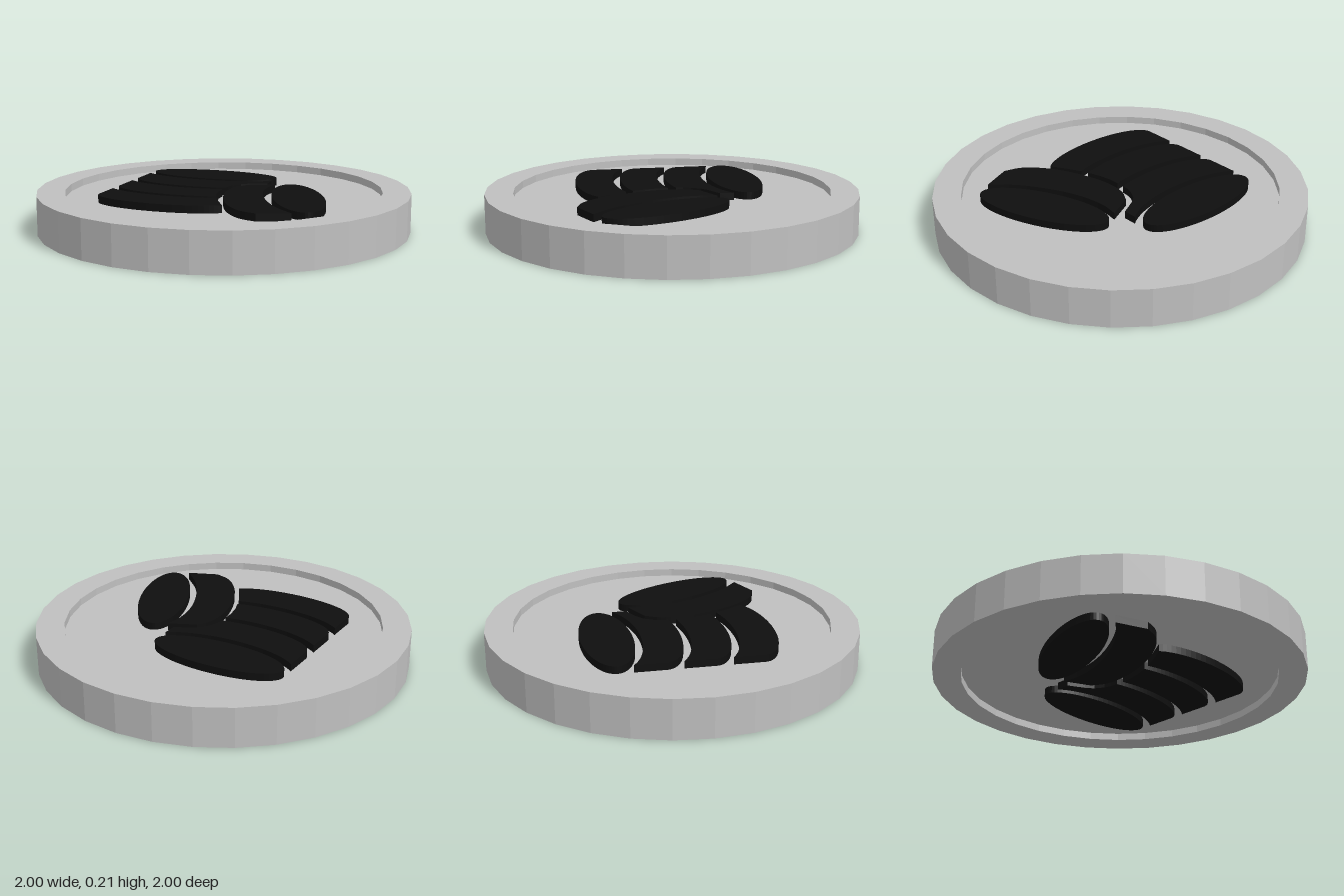
import * as THREE from 'three';

const HEIGHT = 0.21, RECESS = 0.04;
const CX = -0.195, RX = 0.37, RZ = 0.137; // stack centre and coin radii

const silver = new THREE.MeshStandardMaterial({ color: 0xc0c0c0 });
silver.name = 'silver';
const black = new THREE.MeshStandardMaterial({ color: 0x0f0f0f });
black.name = 'black';

// Raised plate from an outline in (x, -z), flush with the rim
function plate(name, shape) {
  const geo = new THREE.ExtrudeGeometry(shape, { depth: RECESS, bevelEnabled: false, curveSegments: 32 });
  geo.rotateX(-Math.PI / 2).translate(0, HEIGHT - RECESS, 0);
  const mesh = new THREE.Mesh(geo, black);
  mesh.name = name;
  return mesh;
}

function ellipse(x, z, rx, rz, turn = 0) {
  return new THREE.Shape().absellipse(x, -z, rx, rz, 0, Math.PI * 2, false, turn);
}

const outline = (pts) => new THREE.Shape(pts.map(([x, z]) => new THREE.Vector2(x, -z)));

// Lower half of an ellipse, from the left side of the stack to xEnd
function arc(cz, rx, rz, xEnd) {
  const end = Math.acos((CX - xEnd) / RX), pts = [];
  for (let i = 0; i <= 28; i++) {
    const x = CX - RX * Math.cos((end * i) / 28);
    pts.push([x, cz + rz * Math.sqrt(Math.max(0, 1 - ((x - CX) / rx) ** 2))]);
  }
  return pts;
}

// Stack of coins with a second, leaning coin
function createEmblem() {
  const g = new THREE.Group();
  g.add(plate('stackTop', ellipse(CX, -0.385, RX, RZ)));

  // Right ends of the bands, cut away around the leaning coin
  const cuts = [
    { top: 0.174, bottom: 0, pts: [[0.174, -0.225], [0.085, -0.18], [0.045, -0.15], [0.015, -0.1], [0.003, -0.06]] },
    { top: 0, bottom: 0.04, pts: [[0.002, 0.08], [0.015, 0.15]] },
    { top: 0.055, bottom: 0.145, pts: [[0.095, 0.335]] },
  ];
  cuts.forEach((cut, i) => {
    const d = i * 0.25;
    const upper = arc(-0.387 + d, 0.42, 0.18, cut.top);
    const lower = arc(-0.137 + d, RX, RZ, cut.bottom).reverse();
    g.add(plate('stackBand' + (i + 1), outline([...upper, ...cut.pts, ...lower])));
  });

  // Leaning coin: face and curved edge
  g.add(plate('leaningCoinFace', ellipse(0.448, 0.102, 0.134, 0.37, 0.413)));
  const curve = (pts) => new THREE.CatmullRomCurve3(pts.map(([x, z]) => new THREE.Vector3(x, 0, z)))
    .getPoints(28).map((p) => [p.x, p.z]);
  const outer = curve([[0.085, -0.135], [0.045, -0.06], [0.04, 0.07], [0.085, 0.24],
    [0.165, 0.4], [0.27, 0.51], [0.365, 0.545]]);
  const inner = curve([[0.525, 0.48], [0.41, 0.37], [0.3, 0.2], [0.235, 0.04], [0.213, -0.1], [0.225, -0.2]]);
  g.add(plate('leaningCoinEdge', outline([...outer, ...inner])));
  return g;
}

export function createModel() {
  const model = new THREE.Group();
  model.name = 'coin';

  // Faceted disc with a shallow recess on both faces
  const profile = [[0, RECESS], [0.85, RECESS], [0.85, 0], [1, 0], [1, HEIGHT],
    [0.85, HEIGHT], [0.85, HEIGHT - RECESS], [0, HEIGHT - RECESS]];
  const geo = new THREE.LatheGeometry(profile.map(([x, y]) => new THREE.Vector2(x, y)), 32).toNonIndexed();
  geo.computeVertexNormals();
  const disc = new THREE.Mesh(geo, silver);
  disc.name = 'disc';
  model.add(disc);

  // Same emblem on both faces, turned over about the z axis
  const front = createEmblem();
  front.name = 'topEmblem';
  const back = createEmblem();
  back.name = 'bottomEmblem';
  back.rotation.z = Math.PI;
  back.position.y = HEIGHT;
  model.add(front, back);
  return model;
}
